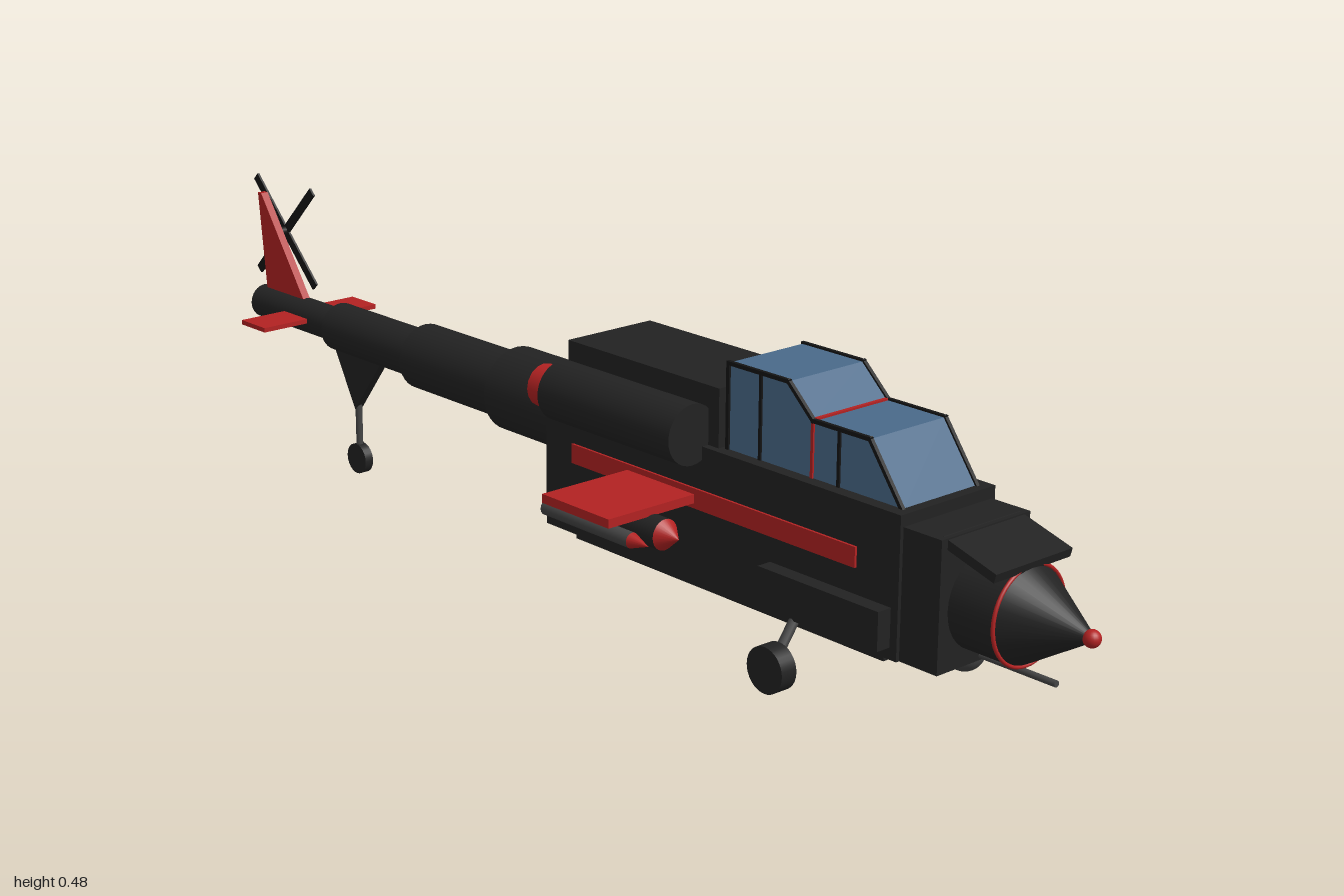
import * as THREE from 'three';

const mat = (name, color) => {
  const m = new THREE.MeshStandardMaterial({ color });
  m.name = name;
  return m;
};

export function createModel() {
  const hull = mat('hull black', 0x222222);
  const red = mat('trim red', 0xb22222);
  const glass = mat('canopy glass', 0x4a6a8a);
  const frame = mat('frame black', 0x151515);
  const steel = mat('steel grey', 0x444444);

  const model = new THREE.Group();
  model.name = 'helicopter';

  const add = (name, geo, material, x = 0, y = 0, z = 0) => {
    const m = new THREE.Mesh(geo, material);
    m.name = name;
    m.position.set(x, y, z);
    model.add(m);
    return m;
  };
  // Box given by its limits on each axis
  const box = (name, material, [x0, x1], [y0, y1], [z0, z1]) =>
    add(name, new THREE.BoxGeometry(x1 - x0, y1 - y0, z1 - z0), material,
      (x0 + x1) / 2, (y0 + y1) / 2, (z0 + z1) / 2);
  // Cylinder or cone along z; rBack at z0, rFront at z1
  const tubeZ = (name, material, rBack, rFront, x, y, z0, z1, sides = 32) =>
    add(name, new THREE.CylinderGeometry(rFront, rBack, z1 - z0, sides).rotateX(Math.PI / 2),
      material, x, y, (z0 + z1) / 2);
  // Side profile of [z, y] points extruded across x
  const profile = (name, material, pts, width) => {
    const s = new THREE.Shape(pts.map(([z, y]) => new THREE.Vector2(z, y)));
    const g = new THREE.ExtrudeGeometry(s, { depth: width, bevelEnabled: false });
    return add(name, g.translate(0, 0, -width / 2).rotateY(-Math.PI / 2), material);
  };
  // Round rod between two points
  const rod = (name, material, a, b, r) => {
    const p = new THREE.Vector3(...a), q = new THREE.Vector3(...b);
    const m = add(name, new THREE.CylinderGeometry(r, r, p.distanceTo(q), 12), material);
    m.position.copy(p).add(q).multiplyScalar(0.5);
    m.quaternion.setFromUnitVectors(new THREE.Vector3(0, 1, 0), q.sub(p).normalize());
    return m;
  };
  // Square bar between two [z, y] points on a plane of constant x
  const bar = (name, material, x, [z0, y0], [z1, y1], t) => {
    const len = Math.hypot(z1 - z0, y1 - y0);
    const m = add(name, new THREE.BoxGeometry(t, t, len + t), material, x, (y0 + y1) / 2, (z0 + z1) / 2);
    m.rotation.x = -Math.atan2(y1 - y0, z1 - z0);
    return m;
  };

  // Fuselage
  box('fuselage', hull, [-0.096, 0.096], [0.1, 0.315], [-0.025, 0.725]);
  box('noseBlock', hull, [-0.09, 0.09], [0.1, 0.297], [0.725, 0.795]);
  box('belly', hull, [-0.073, 0.073], [0.081, 0.1], [0.02, 0.68]);
  box('engineHousing', hull, [-0.084, 0.084], [0.315, 0.406], [0.015, 0.352]);

  // Nose
  tubeZ('noseBarrel', hull, 0.073, 0.073, 0, 0.19, 0.79, 0.875);
  tubeZ('noseCone', hull, 0.072, 0.006, 0, 0.19, 0.875, 0.985);
  add('noseRing', new THREE.TorusGeometry(0.073, 0.003, 8, 48), red, 0, 0.19, 0.876);
  add('noseTip', new THREE.SphereGeometry(0.013, 20, 14), red, 0, 0.19, 0.985);
  const brow = box('noseBrow', hull, [-0.078, 0.078], [0.27, 0.284], [0.782, 0.882]);
  brow.rotation.x = 0.28;

  // Chin turret and gun
  add('turret', new THREE.SphereGeometry(0.03, 24, 16), steel, 0, 0.105, 0.765);
  tubeZ('gunBarrel', steel, 0.005, 0.005, 0, 0.107, 0.77, 0.93, 12);

  // Stepped canopy
  const outline = [[0.71, 0.312], [0.645, 0.4], [0.535, 0.4], [0.485, 0.446], [0.363, 0.446], [0.363, 0.312]];
  profile('canopy', glass, outline, 0.15);
  for (const s of [-1, 1]) {
    for (let i = 0; i < 5; i++) bar('canopyFrame', frame, s * 0.0755, outline[i], outline[i + 1], 0.006);
    bar('canopyPost', frame, s * 0.0755, [0.587, 0.312], [0.587, 0.4], 0.005);
    bar('canopyPost', frame, s * 0.0755, [0.43, 0.312], [0.43, 0.446], 0.005);
    bar('canopyRedPost', red, s * 0.0755, [0.535, 0.312], [0.535, 0.4], 0.005);
  }
  box('canopyRedBar', red, [-0.073, 0.073], [0.398, 0.403], [0.532, 0.538]);

  // Tail boom in four steps
  [[0.07, -0.02, -0.213], [0.056, -0.213, -0.457], [0.042, -0.457, -0.702], [0.03, -0.702, -0.935]]
    .forEach(([r, front, back]) => tubeZ('tailBoom', hull, r, r, 0, 0.259, back, front));

  // Tail surfaces
  profile('tailFin', red, [[-0.795, 0.275], [-0.915, 0.275], [-0.935, 0.46], [-0.925, 0.46]], 0.014);
  box('stabilizer', red, [-0.12, 0.12], [0.257, 0.265], [-0.832, -0.762]);

  // Tail rotor
  rod('tailRotorHub', frame, [0, 0.39, -0.903], [0.032, 0.39, -0.903], 0.008);
  for (const a of [-1, 1]) {
    const blade = add('tailRotorBlade', new THREE.BoxGeometry(0.004, 0.245, 0.016), frame, 0.028, 0.389, -0.903);
    blade.rotation.x = a * Math.PI / 4;
  }

  // Tail wheel
  profile('tailGearFairing', hull, [[-0.575, 0.222], [-0.655, 0.12], [-0.712, 0.222]], 0.016);
  rod('tailGearStrut', steel, [0, 0.14, -0.655], [0, 0.028, -0.655], 0.006);
  add('tailWheel', new THREE.CylinderGeometry(0.027, 0.027, 0.016, 24).rotateZ(Math.PI / 2), hull, 0, 0.028, -0.655);

  // Paired parts
  for (const s of [-1, 1]) {
    const span = (a, b) => (s > 0 ? [a, b] : [-b, -a]);
    box('cheekPod', hull, span(0.09, 0.121), [0.118, 0.177], [0.475, 0.712]);
    box('sideStripe', red, span(0.093, 0.1), [0.217, 0.248], [0.04, 0.645]);
    tubeZ('engine', hull, 0.047, 0.047, s * 0.116, 0.337, 0.035, 0.33);
    tubeZ('exhaust', red, 0.034, 0.034, s * 0.118, 0.337, -0.003, 0.035, 16);

    // Stub wing and its stores
    box('stubWing', red, span(0.09, 0.267), [0.225, 0.239], [0.17, 0.318]);
    tubeZ('rocketPod', hull, 0.024, 0.024, s * 0.182, 0.203, 0.18, 0.345, 24);
    tubeZ('rocketPodTip', red, 0.024, 0, s * 0.182, 0.203, 0.345, 0.375, 24);
    tubeZ('missile', steel, 0.012, 0.012, s * 0.25, 0.212, 0.16, 0.35, 16);
    tubeZ('missileTip', red, 0.012, 0, s * 0.25, 0.212, 0.35, 0.385, 16);

    // Main landing gear
    rod('mainGearStrut', steel, [s * 0.08, 0.112, 0.52], [s * 0.134, 0.037, 0.52], 0.008);
    add('mainWheel', new THREE.CylinderGeometry(0.036, 0.036, 0.029, 32).rotateZ(Math.PI / 2), hull,
      s * 0.1335, 0.037, 0.52);
  }
  return model;
}
